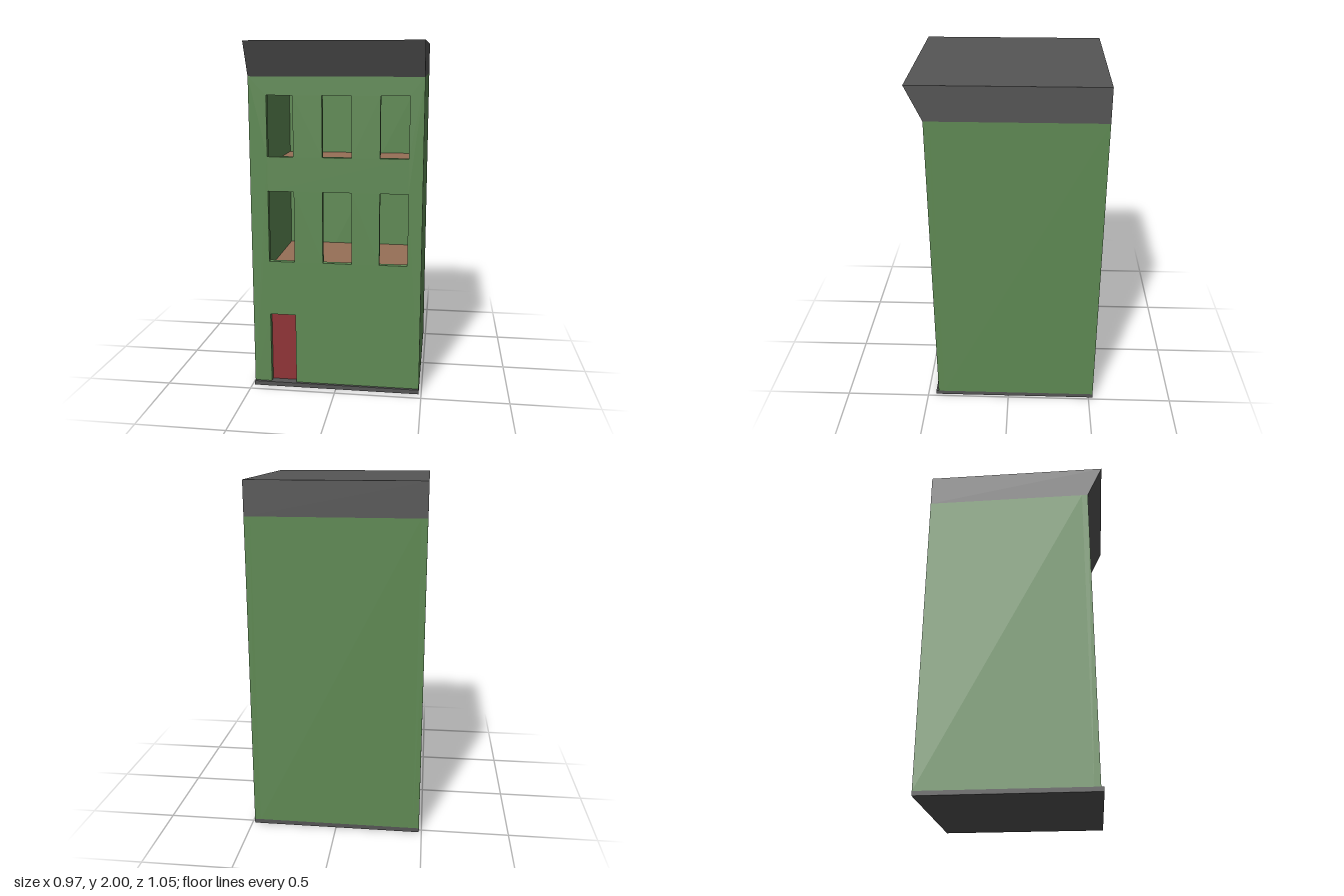
import * as THREE from 'three';

const W = 0.97, BACK = -0.525, FRONT = 0.435; // wall footprint
const BASE = 0.025, EAVES = 1.81, TOP = 2;
const T = 0.035; // wall thickness

const material = (color) => new THREE.MeshStandardMaterial({ color, flatShading: true });
const green = material(0x5f8a54);
const grey = material(0x555555);
const brown = material(0x966f57);
const red = material(0x903437);

export function createModel() {
  const model = new THREE.Group();

  const add = (name, geometry, mat) => {
    const mesh = new THREE.Mesh(geometry, mat);
    mesh.name = name;
    model.add(mesh);
    return mesh;
  };

  // Box given by its min and max on each axis
  const block = (name, mat, [x0, x1], [y0, y1], [z0, z1]) =>
    add(name, new THREE.BoxGeometry(x1 - x0, y1 - y0, z1 - z0), mat)
      .position.set((x0 + x1) / 2, (y0 + y1) / 2, (z0 + z1) / 2);

  const h = W / 2, inner = h - T;
  const door = { x0: -0.385, x1: -0.237, top: 0.443 };

  // Foundation with a small front step
  block('foundation', grey, [-h, h], [0, BASE], [BACK, 0.45]);

  // Front wall: door notch at the bottom, two rows of three window openings
  const wall = new THREE.Shape([
    [-h, BASE], [door.x0, BASE], [door.x0, door.top], [door.x1, door.top],
    [door.x1, BASE], [h, BASE], [h, EAVES], [-h, EAVES],
  ].map(([x, y]) => new THREE.Vector2(x, y)));
  const columns = [[-0.385, -0.237], [-0.074, 0.09], [0.248, 0.406]];
  const rows = [[0.762, 1.172], [1.368, 1.708]];
  for (const [y0, y1] of rows) {
    for (const [x0, x1] of columns) {
      wall.holes.push(new THREE.Path([
        new THREE.Vector2(x0, y0), new THREE.Vector2(x0, y1),
        new THREE.Vector2(x1, y1), new THREE.Vector2(x1, y0),
      ]));
    }
  }
  add('frontWall', new THREE.ExtrudeGeometry(wall, { depth: T, bevelEnabled: false }), green)
    .position.z = FRONT - T;

  // Side and back walls
  block('leftWall', green, [inner, h], [BASE, EAVES], [BACK, FRONT - T]);
  block('rightWall', green, [-h, -inner], [BASE, EAVES], [BACK, FRONT - T]);
  block('backWall', green, [-inner, inner], [BASE, EAVES], [BACK, BACK + T]);

  // Recessed door
  block('door', red, [door.x0, door.x1], [BASE, door.top], [FRONT - T - 0.02, FRONT - T]);

  // Upper storey floors inside
  for (const y of [0.645, 1.28]) {
    block('floor', brown, [-inner, inner], [y - 0.02, y], [BACK + T, FRONT - T]);
  }

  // Flat roof with a cornice flaring out over the front
  const profile = new THREE.Shape([
    [BACK, EAVES], [FRONT, EAVES], [0.525, TOP], [BACK, TOP],
  ].map(([z, y]) => new THREE.Vector2(z, y)));
  const roof = new THREE.ExtrudeGeometry(profile, { depth: W, bevelEnabled: false });
  roof.rotateY(-Math.PI / 2).translate(h, 0, 0);
  add('roof', roof, grey);

  return model;
}
